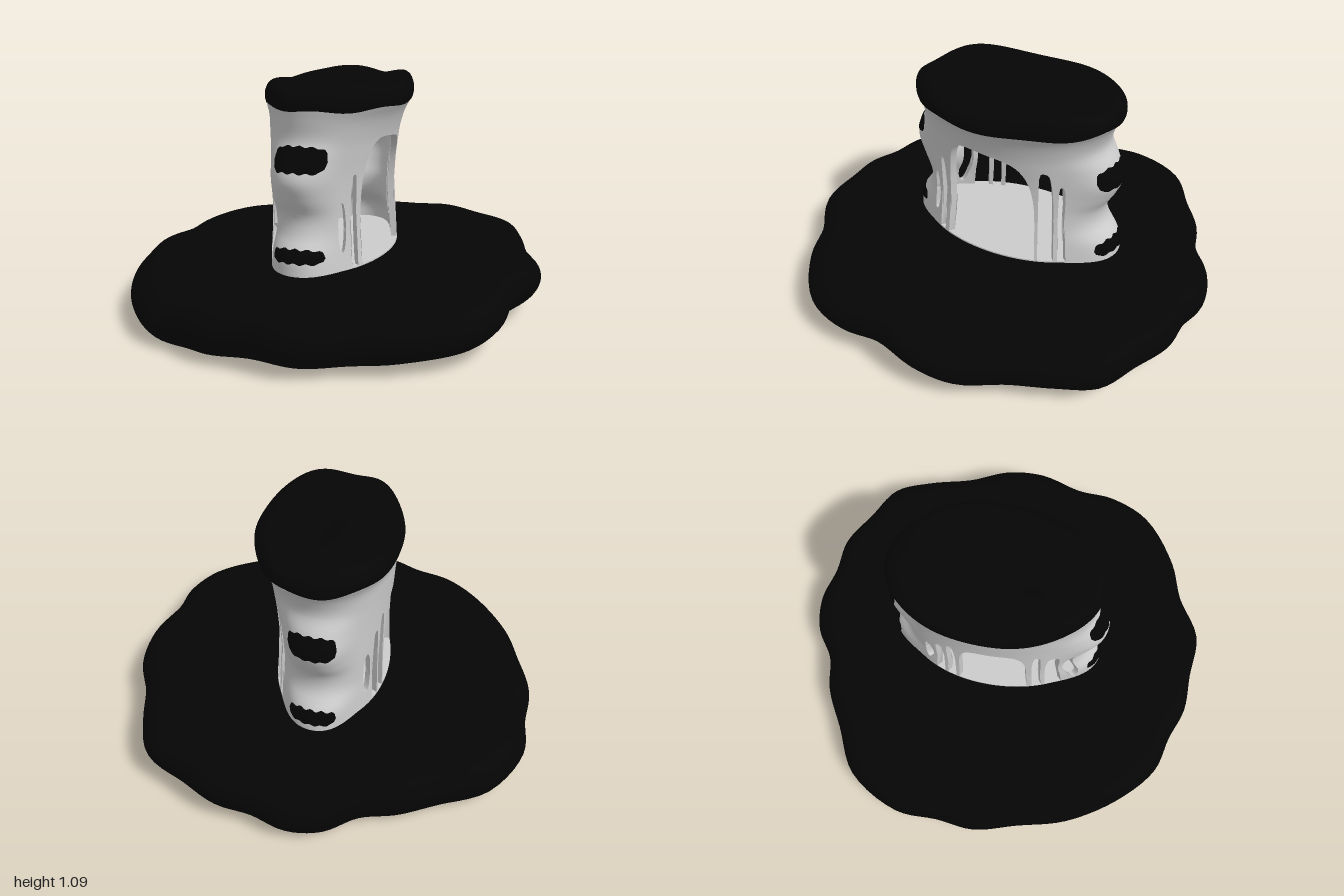
import * as THREE from 'three';

const GREY = new THREE.MeshStandardMaterial({ color: 0xcccccc, side: THREE.DoubleSide });
const BLACK = new THREE.MeshStandardMaterial({ color: 0x050505, side: THREE.DoubleSide });
const { smoothstep } = THREE.MathUtils;

// Smooth surface through columns of equal length, optionally joined last to first
function gridMesh(name, columns, material, closed = true) {
  const n = columns.length, m = columns[0].length, index = [];
  for (let i = 0; i < (closed ? n : n - 1); i++) {
    for (let j = 0; j < m - 1; j++) {
      const a = i * m + j, b = ((i + 1) % n) * m + j;
      index.push(a, b, a + 1, b, b + 1, a + 1);
    }
  }
  const geo = new THREE.BufferGeometry().setFromPoints(columns.flat());
  geo.setIndex(index);
  geo.computeVertexNormals();
  const mesh = new THREE.Mesh(geo, material);
  mesh.name = name;
  return mesh;
}

// Tower by height: half width, centre x, front reach, back reach, front bulge, back bulge
const HEIGHTS = [0.2, 0.28, 0.36, 0.44, 0.52, 0.6, 0.69, 0.78, 0.86, 0.95, 1.0];
const LEVELS = [
  0.285, 0.01, 0.46, 0.5, 0.04, 0.05,
  0.278, 0.008, 0.45, 0.49, 0.05, 0.06,
  0.272, 0.004, 0.44, 0.48, 0.05, 0.055,
  0.267, 0.002, 0.43, 0.47, 0.01, 0.005,
  0.266, 0, 0.43, 0.47, 0, 0,
  0.268, 0, 0.43, 0.47, 0.04, 0.04,
  0.272, 0.002, 0.43, 0.47, 0.07, 0.07,
  0.28, 0.006, 0.43, 0.47, 0.04, 0.04,
  0.29, 0.01, 0.43, 0.47, 0, 0,
  0.31, 0.02, 0.43, 0.49, 0, 0,
  0.335, 0.025, 0.435, 0.52, 0, 0,
];
const levels = new THREE.CubicInterpolant(HEIGHTS, LEVELS, 6, new Array(6));
const MID_Z = -0.03;
// Point on the tower wall; angle 0 is the front, growing toward +x
function wallPoint(angle, y, inset = 0, scale = 1, height = y) {
  const [w, cx, front, back, frontBulge, backBulge] = levels.evaluate(y);
  const s = Math.sin(angle), c = Math.cos(angle);
  const bulge = (c > 0 ? frontBulge : backBulge) * smoothstep(Math.abs(c), 0.68, 1);
  const reach = (c > 0 ? front - MID_Z : back + MID_Z) + bulge;
  const z = c * (reach - inset) * scale;
  return new THREE.Vector3(cx + s * (w - inset) * scale + 0.12 * z, height, MID_Z + z);
}
function wallNormal(angle, y) {
  const e = 0.01;
  const round = wallPoint(angle + e, y).sub(wallPoint(angle - e, y));
  const up = wallPoint(angle, Math.min(y + e, 1)).sub(wallPoint(angle, y - e));
  return round.cross(up).normalize();
}

// Openings: side, front z, back z, bottom, top at front, top at back, rounded hole?
const SILL = 0.278;
const OPENINGS = [
  [1, 0.318, 0.28, 0.35, 0.58, 0.58, true],
  [1, 0.255, 0.22, SILL, 0.7, 0.7],
  [1, 0.195, -0.25, SILL, 0.87, 0.81],
  [1, -0.262, -0.325, SILL, 0.79, 0.77],
  [1, -0.34, -0.365, SILL, 0.7, 0.7],
  [-1, 0.385, 0.347, 0.3, 0.6, 0.6, true],
  [-1, 0.33, 0.272, SILL, 0.66, 0.66],
  [-1, 0.255, 0.215, SILL, 0.72, 0.72],
  [-1, 0.195, -0.13, SILL, 0.76, 0.76],
  [-1, -0.145, -0.19, SILL, 0.72, 0.72],
  [-1, -0.205, -0.25, SILL, 0.66, 0.66],
  [-1, -0.27, -0.32, 0.35, 0.57, 0.57, true],
].map(([side, zA, zB, lo, hiA, hiB, hole]) => {
  const ang = (z) => {
    const a = Math.acos((z - MID_Z) / (z > MID_Z ? 0.46 : 0.44));
    return side > 0 ? a : 2 * Math.PI - a;
  };
  const [start, end, h0, h1] = side > 0 ? [ang(zA), ang(zB), hiA, hiB] : [ang(zB), ang(zA), hiB, hiA];
  return { start, end, h0, h1, lo, mid: hole ? (lo + hiA) / 2 : lo, power: hole ? 2 : 4 };
}).sort((a, b) => a.start - b.start);

// Stations around the wall: angle, top of the lower wall, bottom of the upper wall
function wallStations() {
  const out = [];
  OPENINGS.forEach((o, k) => {
    const n = o.end - o.start > 0.3 ? 32 : 12;
    for (let i = 0; i <= n; i++) {
      const t = -Math.cos((i / n) * Math.PI), u = (t + 1) / 2;
      const rise = Math.pow(Math.max(0, 1 - Math.pow(Math.abs(t), o.power)), 1 / o.power);
      out.push({
        angle: o.start + u * (o.end - o.start),
        lo: o.mid + (o.lo - o.mid) * rise,
        hi: o.mid + (o.h0 + (o.h1 - o.h0) * u - o.mid) * rise,
      });
    }
    // Solid wall or slim post up to the next opening
    const next = OPENINGS[(k + 1) % OPENINGS.length];
    const to = next.start + (k === OPENINGS.length - 1 ? 2 * Math.PI : 0);
    const steps = Math.max(2, Math.ceil((to - o.end) / 0.05));
    for (let i = 1; i < steps; i++) {
      const u = i / steps, y = o.mid + (next.mid - o.mid) * u;
      out.push({ angle: o.end + u * (to - o.end), lo: y, hi: y });
    }
  });
  return out;
}

// Wall band with outer face, inner face and the reveal round the openings.
// Rows keep fixed heights and are clamped at the opening edge.
function makeBand(name, stations, edge, clamp) {
  const thickness = 0.03, rows = 36;
  const grid = stations.map((s) => Array.from({ length: rows + 1 },
    (_, j) => ({ angle: s.angle, y: clamp(s[edge], 0.22 + (0.78 * j) / rows) })));
  const normals = grid.flat().flatMap((g) => wallNormal(g.angle, g.y).toArray());
  const face = (label, inset) => {
    const mesh = gridMesh(label, grid.map((col) => col.map((g) => wallPoint(g.angle, g.y, inset))), GREY);
    mesh.geometry.setAttribute('normal', new THREE.Float32BufferAttribute(normals, 3));
    return mesh;
  };
  const reveal = stations.map((s) => [thickness, 0].map((inset) => wallPoint(s.angle, s[edge], inset)));
  const band = new THREE.Group();
  band.name = name;
  band.add(face('outerFace', 0), face('innerFace', thickness), gridMesh('reveal', reveal, GREY));
  return band;
}

const turn = (n, fn) => Array.from({ length: n }, (_, i) => fn((i / n) * Math.PI * 2));
const spline = (pts, n) => new THREE.SplineCurve(pts.map(([x, y]) => new THREE.Vector2(x, y))).getPoints(n);

// Outer edge of the base, x and z pairs
const EDGE = [
  -0.1, -1, 0.07, -0.985, 0.24, -0.995, 0.43, -0.93, 0.62, -0.86, 0.73, -0.7, 0.83, -0.5, 0.95, -0.32,
  0.99, -0.13, 0.965, 0.1, 0.99, 0.29, 0.94, 0.5, 0.74, 0.71, 0.56, 0.81, 0.38, 0.95, 0.16, 0.975,
  -0.02, 1, -0.18, 0.97, -0.36, 0.95, -0.57, 0.815, -0.755, 0.605, -0.86, 0.385, -0.95, 0.19,
  -0.965, 0, -0.995, -0.21, -0.9, -0.48, -0.71, -0.63, -0.55, -0.755, -0.39, -0.825, -0.26, -0.945,
];

function makeBase() {
  const pts = [];
  for (let i = 0; i < EDGE.length; i += 2) pts.push(new THREE.Vector3(EDGE[i], 0, EDGE[i + 1]));
  const rim = new THREE.CatmullRomCurve3(pts, true).getPoints(150).slice(1).reverse();
  // Cross-section from the hole, down the hollow underside, round the rim and over the top
  const section = spline([
    [0, 0.64], [0.25, 0.48], [0.48, 0.1], [0.68, -0.55], [0.82, -0.95], [0.9, -0.95], [0.97, -0.58],
    [1, -0.1], [0.985, 0.35], [0.93, 0.7], [0.82, 0.93], [0.6, 1], [0.3, 1], [0, 1],
  ], 56);
  const columns = rim.map((r) => {
    const angle = Math.atan2(r.x, r.z);
    const hole = wallPoint(angle, 0.28, 0.012);
    return section.map(({ x: f, y: v }) => {
      const p = hole.clone().lerp(r, f);
      const wave = 0.012 * Math.sin(5 * angle + 0.6) + 0.006 * Math.sin(9 * angle);
      p.y = 0.164 + f * f * (0.037 * r.x - 0.012 * r.z + wave) + v * 0.107;
      return p;
    });
  });
  return gridMesh('base', columns, BLACK);
}

function makeRoof() {
  const profile = spline([
    [1, 0.995], [1.015, 1.02], [1.005, 1.05], [0.95, 1.078], [0.82, 1.09], [0.4, 1.087], [0, 1.082],
  ], 30);
  return gridMesh('roof', turn(96, (a) => profile.map(({ x: r, y }) => {
    const p = wallPoint(a, 1, 0, Math.max(r, 0), y);
    const top = smoothstep(y, 1.0, 1.09);
    const lumps = -0.012 * Math.cos(((p.x - 0.06) / 0.17) * Math.PI) - 0.01 * Math.cos((p.z / 0.3) * Math.PI);
    p.y += top * lumps + 0.006 * (1 - top) * Math.sin(7 * a);
    return p;
  })), BLACK);
}

// Dark patch lying on the wall
function makePatch(name, centre, half, y0, y1) {
  const columns = [], mid = (y0 + y1) / 2;
  for (let i = 0; i <= 32; i++) {
    const u = i / 16 - 1, col = [];
    const h = ((y1 - y0) / 2) * Math.pow(1 - Math.pow(Math.abs(u), 6), 0.4);
    const ragged = 0.004 * Math.sin(i * 0.9) + 0.01 * (0.5 - u * u);
    for (let j = 0; j <= 8; j++) {
      col.push(wallPoint(centre + u * half, mid + (j / 4 - 1) * h + ragged, -0.004));
    }
    columns.push(col);
  }
  return gridMesh(name, columns, BLACK, false);
}

function makeDisc(name, y, inset) {
  return gridMesh(name, turn(72, (a) => [1, 0.66, 0.33, 0].map((s) => wallPoint(a, y, inset, s))), GREY);
}

export function createModel() {
  const model = new THREE.Group();
  model.name = 'archTower';
  const stations = wallStations();
  model.add(
    makeBase(),
    makeBand('upperWall', stations, 'hi', Math.max),
    makeBand('lowerWall', stations, 'lo', Math.min),
    makeDisc('floor', SILL, 0.015),
    makeDisc('ceiling', 0.92, 0.02),
    makeRoof(),
    makePatch('frontUpperPatch', 0.1, 0.45, 0.73, 0.84),
    makePatch('frontLowerPatch', 0.1, 0.45, 0.325, 0.385),
    makePatch('backUpperPatch', Math.PI, 0.42, 0.67, 0.78),
    makePatch('backLowerPatch', Math.PI, 0.42, 0.3, 0.37),
  );
  return model;
}
